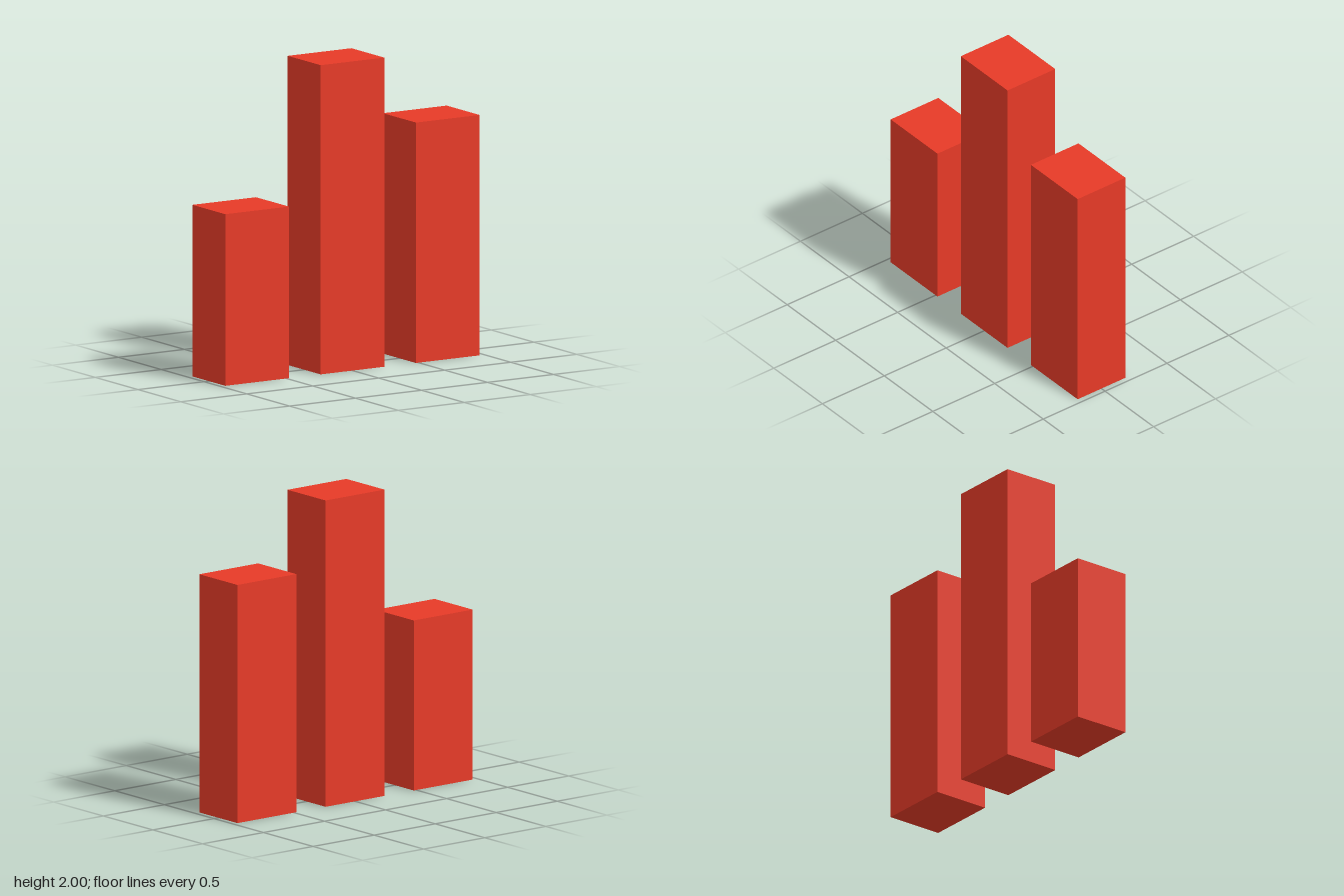
import * as THREE from 'three';

const WIDTH = 0.482, DEPTH = 0.385, PITCH = 0.722;

export function createModel() {
  const model = new THREE.Group();
  model.name = 'barChart';

  const red = new THREE.MeshStandardMaterial({ color: 0xe63a27 });
  red.name = 'red';

  // Three upright bars standing on the ground
  const bars = [
    ['rightShortBar', -PITCH, 1.11],
    ['centreTallBar', 0, 2],
    ['leftMediumBar', PITCH, 1.555],
  ];
  for (const [name, x, height] of bars) {
    const bar = new THREE.Mesh(new THREE.BoxGeometry(WIDTH, height, DEPTH), red);
    bar.name = name;
    bar.position.set(x, height / 2, 0);
    model.add(bar);
  }
  return model;
}
